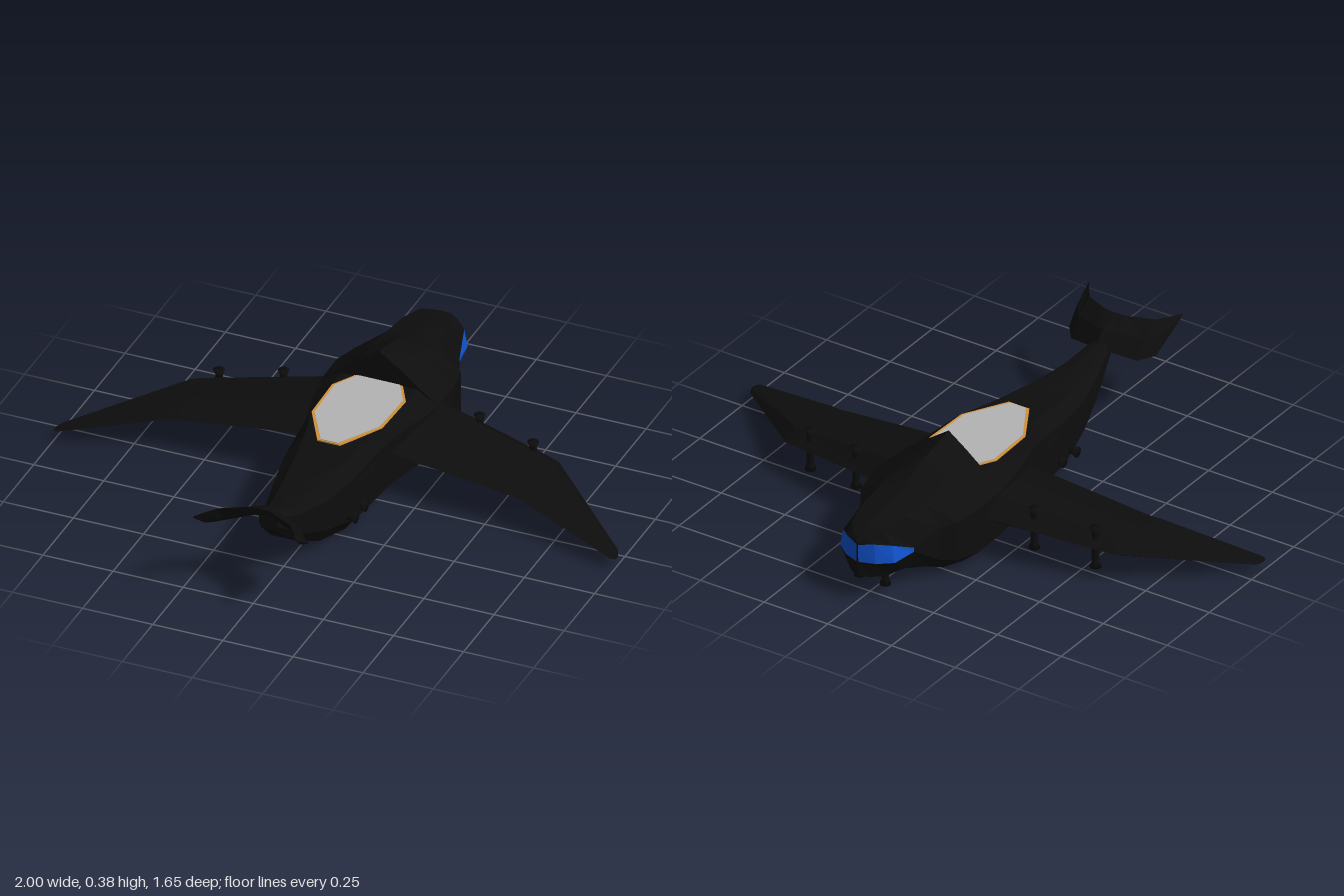
import * as THREE from 'three';

const mat = (name, color, side = THREE.FrontSide) => {
  const m = new THREE.MeshStandardMaterial({ color, side });
  m.name = name;
  return m;
};

// Skin a run of equal-length rings with flat faces; keep(section, strip) picks the quads.
function loft(rings, keep = () => true, caps = true) {
  const pos = [];
  const tri = (a, b, c) => pos.push(...a, ...b, ...c);
  const n = rings[0].length;
  for (let s = 0; s < rings.length - 1; s++) {
    for (let i = 0; i < n; i++) {
      if (!keep(s, i)) continue;
      const j = (i + 1) % n, a = rings[s], b = rings[s + 1];
      tri(a[i], a[j], b[j]);
      tri(a[i], b[j], b[i]);
    }
  }
  if (caps) {
    const a = rings[0], b = rings[rings.length - 1];
    for (let i = 1; i < n - 1; i++) {
      tri(a[0], a[i + 1], a[i]);
      tri(b[0], b[i], b[i + 1]);
    }
  }
  const g = new THREE.BufferGeometry();
  g.setAttribute('position', new THREE.Float32BufferAttribute(pos, 3));
  g.computeVertexNormals();
  return g;
}

const mirrorRings = (rings) => rings.map((r) => r.map(([x, y, z]) => [-x, y, z])).reverse();

export function createModel() {
  const model = new THREE.Group();
  const black = mat('hullBlack', 0x0d0d0d, THREE.DoubleSide);
  const blue = mat('visorBlue', 0x1052cc);
  const grey = mat('canopyGrey', 0xb4b4b4);
  const orange = mat('frameOrange', 0xd0923a);
  const add = (name, geo, material) => {
    const m = new THREE.Mesh(geo, material);
    m.name = name;
    model.add(m);
    return m;
  };

  // Hull sections: z, top y, shoulder y and x, side x, side upper y, side lower y, bottom y
  const sections = [
    [-0.825, 0.225, 0.222, 0.002, 0.003, 0.215, 0.15, 0.10],
    [-0.805, 0.238, 0.235, 0.03, 0.052, 0.222, 0.15, 0.093],
    [-0.765, 0.262, 0.255, 0.06, 0.095, 0.212, 0.15, 0.087],
    [-0.67, 0.28, 0.272, 0.08, 0.12, 0.165, 0.15, 0.075],
    [-0.57, 0.287, 0.275, 0.09, 0.155, 0.20, 0.08, 0.04],
    [-0.52, 0.312, 0.285, 0.09, 0.19, 0.21, 0.065, 0.02],
    [-0.42, 0.35, 0.305, 0.085, 0.21, 0.22, 0.055, 0],
    [-0.285, 0.38, 0.33, 0.07, 0.208, 0.22, 0.055, 0],
    [-0.285, 0.265, 0.265, 0.135, 0.208, 0.22, 0.055, 0],
    [-0.20, 0.265, 0.265, 0.135, 0.195, 0.22, 0.055, 0],
    [-0.02, 0.265, 0.265, 0.13, 0.15, 0.22, 0.05, 0],
    [0.08, 0.265, 0.262, 0.10, 0.142, 0.22, 0.05, 0],
    [0.21, 0.25, 0.247, 0.08, 0.13, 0.21, 0.05, 0],
    [0.37, 0.24, 0.235, 0.06, 0.10, 0.20, 0.09, 0.04],
    [0.50, 0.25, 0.245, 0.04, 0.065, 0.22, 0.14, 0.11],
    [0.63, 0.28, 0.275, 0.018, 0.032, 0.26, 0.235, 0.22],
  ];
  const hullRings = sections.map(([z, top, sy, sx, w, uy, ly, by]) => {
    const flare = z < -0.7 ? 1.13 : 1; // the nose leans out towards the visor's lower edge
    const half = [[w * 0.7, by, z], [w * flare, ly, z], [w, uy, z], [sx, sy, z]];
    return [...half, [0, top, z], ...half.map(([x, y]) => [-x, y, z]).reverse()];
  });
  const isSide = (i) => i === 1 || i === 6;
  const isVisor = (s, i) => s < 3 && isSide(i);
  add('hull', loft(hullRings, (s, i) => !isVisor(s, i) && !(s === 11 && isSide(i))), black);
  add('visor', loft(hullRings, isVisor, false), blue);

  // Flank panels pierced by a row of portholes
  for (const s of [1, -1]) {
    const shape = new THREE.Shape(
      [[0.08, 0.05], [0.21, 0.05], [0.21, 0.21], [0.08, 0.22]].map(([z, y]) => new THREE.Vector2(-s * z, y)));
    for (const z of [0.1, 0.13, 0.16, 0.19]) {
      shape.holes.push(new THREE.Path().absarc(-s * z, 0.185, 0.0115, 0, Math.PI * 2));
    }
    const g = new THREE.ShapeGeometry(shape, 8);
    const p = g.attributes.position;
    for (let i = 0; i < p.count; i++) {
      const z = -s * p.getX(i);
      p.setXYZ(i, s * (0.142 - (z - 0.08) * 0.012 / 0.13), p.getY(i), z);
    }
    g.computeVertexNormals();
    add(s > 0 ? 'leftPortholePanel' : 'rightPortholePanel', g, black);
  }

  // Deck hatch: thin frame with a grey panel on it
  const hatch = (inset, depth) => {
    const half = [[0.085, -0.284], [0.132, -0.20], [0.126, -0.02], [0.04, 0.132]]
      .map(([x, z]) => [x - inset, z > 0 ? z - inset / 2 : z]);
    const outline = [...half, ...half.map(([x, z]) => [-x, z]).reverse()];
    const shape = new THREE.Shape(outline.map(([x, z]) => new THREE.Vector2(x, -z)));
    return new THREE.ExtrudeGeometry(shape, { depth, bevelEnabled: false }).rotateX(-Math.PI / 2);
  };
  add('hatchFrame', hatch(0, 0.005), orange).position.y = 0.263;
  add('hatchPanel', hatch(0.01, 0.007), grey).position.y = 0.263;

  // Wings: x, leading z, trailing z, top y, bottom y
  const wingRings = [
    [0.10, -0.41, -0.03, 0.228, 0.118],
    [0.21, -0.385, -0.027, 0.215, 0.112],
    [0.61, -0.288, -0.012, 0.155, 0.088],
    [0.645, -0.278, -0.002, 0.148, 0.085],
    [0.985, 0.025, 0.09, 0.046, 0.033],
    [1.0, 0.055, 0.085, 0.04, 0.033],
  ].map(([x, a, b, t, u]) => {
    const at = (f) => a + (b - a) * f, mid = (t + u) / 2;
    return [[x, mid, a], [x, t, at(0.2)], [x, t - (t - u) * 0.15, at(0.6)],
      [x, mid, b], [x, u + (t - u) * 0.1, at(0.6)], [x, u, at(0.2)]];
  });

  // Tail flukes: x, leading z and y, trailing z and y
  const flukeRings = [
    [0, 0.58, 0.255, 0.70, 0.337],
    [0.04, 0.60, 0.25, 0.703, 0.336],
    [0.13, 0.635, 0.228, 0.745, 0.331],
    [0.17, 0.685, 0.235, 0.80, 0.331],
    [0.183, 0.80, 0.312, 0.825, 0.332],
  ].map(([x, az, ay, bz, by]) => {
    const z = (az + bz) / 2, y = (ay + by) / 2, h = (bz - az) * 0.1;
    return [[x, ay, az], [x, y + h, z - h], [x, by, bz], [x, y - h, z + h]];
  });
  for (const [name, rings] of [['Wing', wingRings], ['Fluke', flukeRings]]) {
    add('left' + name, loft(rings), black);
    add('right' + name, loft(mirrorRings(rings)), black);
  }

  // Flared thrusters on wings, chin and flanks
  const nozzle = new THREE.LatheGeometry(
    [[0.013, 0], [0.013, 0.045], [0.012, 0.055], [0.02, 0.075], [0, 0.07]].map(([r, y]) => new THREE.Vector2(r, y)), 10);
  const thruster = (name, x, y, z, dir) => {
    const m = add(name, nozzle, black);
    m.position.set(x, y, z);
    m.quaternion.setFromUnitVectors(new THREE.Vector3(0, 1, 0), dir);
  };
  const up = new THREE.Vector3(0, 1, 0), down = new THREE.Vector3(0, -1, 0);
  for (const s of [1, -1]) {
    for (const [x, y, z] of [[0.35, 0.135, -0.305], [0.56, 0.11, -0.26]]) {
      thruster('wingThrusterUp', s * x, y, z, up);
      thruster('wingThrusterDown', s * x, y, z, down);
    }
    thruster('chinThruster', s * 0.05, 0.113, -0.735, down);
    for (const z of [0.17, 0.25]) {
      thruster('flankThruster', s * 0.077, 0.08, z, new THREE.Vector3(s, 0, 0));
    }
  }
  return model;
}
